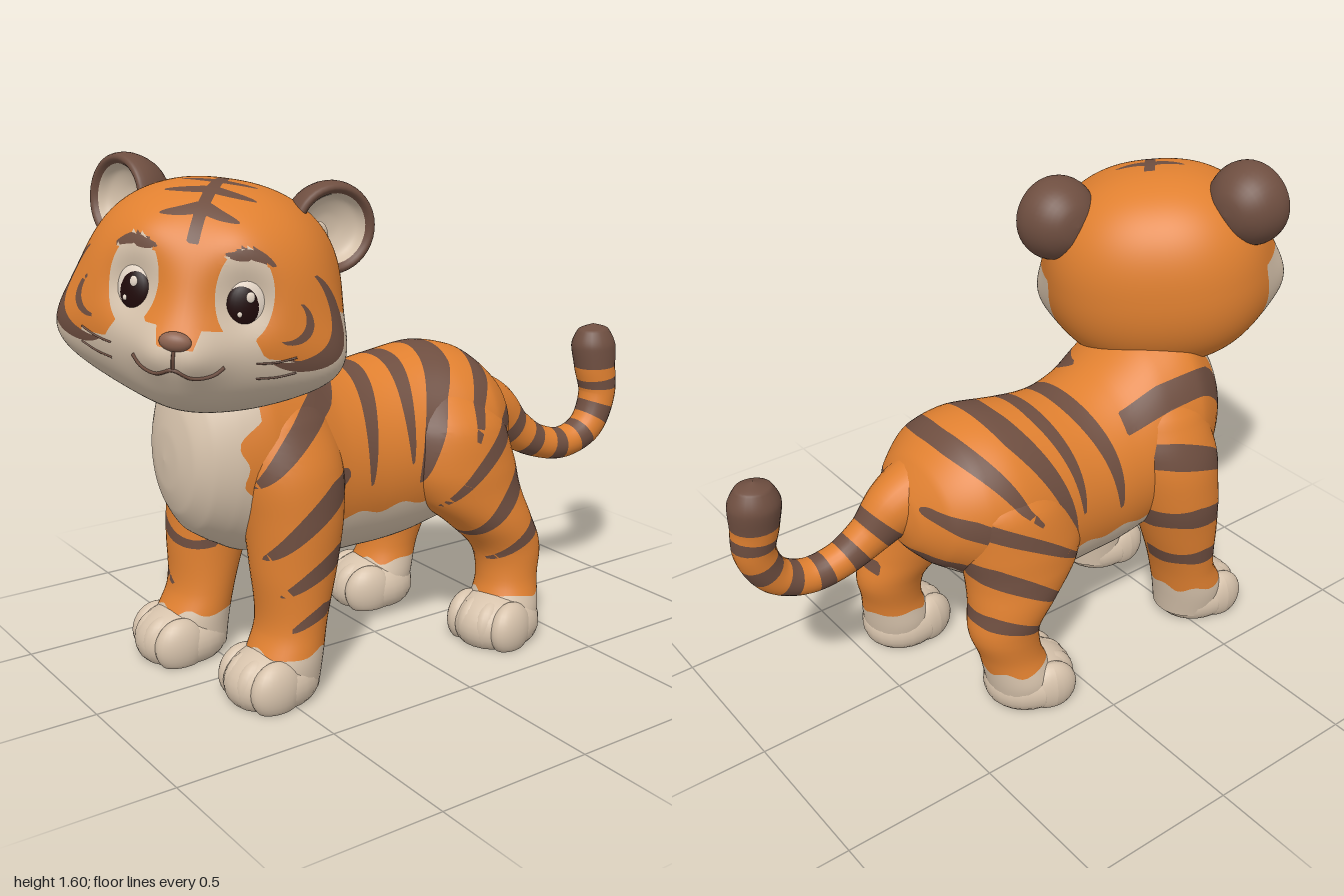
import * as THREE from 'three';
import { mergeGeometries, mergeVertices } from 'three/addons/utils/BufferGeometryUtils.js';

const flat = (name, color) => Object.assign(new THREE.MeshStandardMaterial({ color }), { name });
const V3 = (x, y, z) => new THREE.Vector3(x, y, z);

// Stripes as tapered strokes: start, end, half width
const SIDE = [
  [0.06, 1.0, 0.165, 0.6, 0.035], [-0.07, 1.0, 0.01, 0.64, 0.028], [-0.22, 1.0, -0.02, 0.57, 0.041],
  [-0.38, 0.96, -0.19, 0.68, 0.036], [-0.45, 0.75, -0.08, 0.49, 0.036], [-0.46, 0.57, -0.18, 0.36, 0.042],
  [-0.5, 0.39, -0.27, 0.28, 0.03], [0.25, 0.93, 0.57, 0.67, 0.05], [0.27, 0.66, 0.55, 0.45, 0.047],
  [0.28, 0.45, 0.52, 0.34, 0.038], [0.36, 0.29, 0.5, 0.23, 0.026],
];
const RIGHT_LEG = [[0.3, 0.77, 0.79, 0.51, 0.055], [0.3, 0.51, 0.78, 0.36, 0.045], [0.36, 0.32, 0.68, 0.235, 0.034]];
const RIGHT_CHEST = [[-0.31, 0.98, -0.205, 0.69, 0.048]];
const BROWS = [[0.185, 0.176, 0.26, 0.145, 0.018], [0.19, 0.176, 0.105, 0.168, 0.018]];
const CROWN = [[0, 0.04, 0.11, 0.03, 0.022], [0, 0.12, 0.13, 0.13, 0.023], [0, 0.2, 0.11, 0.23, 0.021]];
function inStripe(list, u, v) {
  return list.some(([a, b, c, d, w]) => {
    const dx = c - a, dy = d - b;
    const t = THREE.MathUtils.clamp(((u - a) * dx + (v - b) * dy) / (dx * dx + dy * dy), 0, 1);
    const bow = 0.06 * Math.sin(Math.PI * t);
    return Math.hypot(u - a - dx * t + dy * bow, v - b - dy * t - dx * bow) < w * Math.min(1, 0.5 + 3 * t) * Math.sqrt(1 - t);
  });
}
// Crescent: a disc less a shifted disc
const inCrescent = (u, v, cu, cv, r, du, dv) => Math.hypot(u - cu, v - cv) < r && Math.hypot(u - cu - du, v - cv - dv) > r;

// Upper limit of the pale lower face, by distance round the head
const JAW = [[0, -0.08], [0.045, -0.08], [0.06, -0.03], [0.2, -0.035], [0.24, -0.1], [0.37, -0.105], [0.44, 0.01], [2, 0.01]];
function jawEdge(u) {
  const i = Math.max(1, JAW.findIndex(k => k[0] >= u)), [a, b] = [JAW[i - 1], JAW[i]];
  return THREE.MathUtils.mapLinear(u, a[0], b[0], a[1], b[1]);
}

// Smooth skin over elliptical sections [x, y, z, half width, half height]
function loft(sections, rows, segs, axis) {
  const path = new THREE.CatmullRomCurve3(sections.map(s => V3(s[0], s[1], s[2])));
  const size = new THREE.CatmullRomCurve3(sections.map(s => V3(s[3], s[4], 0)));
  const pos = [], uv = [], index = [], X = V3(1, 0, 0);
  for (let i = 0; i <= rows; i++) {
    const t = i / rows, c = path.getPoint(t), r = size.getPoint(t);
    const up = (axis || path.getTangent(t)).clone().cross(X).normalize();
    for (let j = 0; j < segs; j++) {
      const a = j / segs * Math.PI * 2;
      const p = c.clone().addScaledVector(X, r.x * Math.cos(a)).addScaledVector(up, r.y * Math.sin(a));
      pos.push(p.x, p.y, p.z);
      uv.push(j / segs, t);
      if (i < rows) {
        const k = i * segs + j, n = i * segs + (j + 1) % segs;
        index.push(k, n, k + segs, n, n + segs, k + segs);
      }
    }
  }
  const g = new THREE.BufferGeometry();
  g.setAttribute('position', new THREE.Float32BufferAttribute(pos, 3));
  g.setAttribute('uv', new THREE.Float32BufferAttribute(uv, 2));
  g.setIndex(index);
  return g;
}

// Split a skin into colour groups by a rule, cutting triangles along the colour edges
function paint(g, rule) {
  const P = g.attributes.position, T = g.attributes.uv, id = g.index.array, cuts = {}, sets = [[], [], []];
  const pts = Array.from({ length: P.count }, (_, i) => V3().fromBufferAttribute(P, i));
  const ts = pts.map((_, i) => T ? T.getY(i) : 0);
  const tone = pts.map((p, i) => rule(p, ts[i]));
  const cut = (a, b) => {
    if (a > b) [a, b] = [b, a];
    return cuts[a + '_' + b] ??= (() => {
      let lo = 0, hi = 1;
      for (let n = 0; n < 9; n++) {
        const m = (lo + hi) / 2;
        if (rule(pts[a].clone().lerp(pts[b], m), ts[a] + (ts[b] - ts[a]) * m) === tone[a]) lo = m; else hi = m;
      }
      return pts.push(pts[a].clone().lerp(pts[b], hi)) - 1;
    })();
  };
  for (let i = 0; i < id.length; i += 3) {
    let [a, b, c] = id.subarray(i, i + 3);
    // Turn the triangle until its odd corner comes first
    for (let n = 0; n < 2 && tone[b] !== tone[c]; n++) [a, b, c] = [b, c, a];
    if (tone[a] === tone[b] || tone[b] !== tone[c]) { sets[tone[a]].push(a, b, c); continue; }
    const m = cut(a, b), n = cut(a, c);
    sets[tone[a]].push(a, m, n);
    sets[tone[b]].push(m, b, c, m, c, n);
  }
  const out = new THREE.BufferGeometry().setFromPoints(pts);
  out.setIndex(sets.flat());
  let start = 0;
  sets.forEach((s, m) => { if (s.length) out.addGroup(start, s.length, m); start += s.length; });
  out.computeVertexNormals();
  return out;
}

// Move every vertex by a rule
function warp(g, rule) {
  const P = g.attributes.position, v = V3();
  for (let i = 0; i < P.count; i++) { rule(v.fromBufferAttribute(P, i)); P.setXYZ(i, v.x, v.y, v.z); }
  g.computeVertexNormals();
  return g;
}

export function createModel() {
  const orange = flat('orange fur', 0xe08030), brown = flat('brown stripes', 0x6e4e40), cream = flat('cream fur', 0xd6c2ab);
  const white = flat('eye white', 0xeadbcb), dark = flat('pupil', 0x200a0a), noseTone = flat('nose', 0x8f6552);
  const fur = [orange, brown, cream];
  const model = new THREE.Group();
  const add = (parent, name, geo, mat, x = 0, y = 0, z = 0) => {
    const m = new THREE.Mesh(geo, mat);
    m.name = name;
    m.position.set(x, y, z);
    parent.add(m);
    return m;
  };
  const blob = (parent, name, mat, x, y, z, sx, sy, sz) =>
    add(parent, name, new THREE.SphereGeometry(1, 24, 16), mat, x, y, z).scale.set(sx, sy, sz);

  // Torso, rump to chest
  const torso = loft([
    [-0.02, 0.68, -0.5, 0, 0], [-0.02, 0.68, -0.475, 0.11, 0.1], [-0.03, 0.69, -0.42, 0.2, 0.175],
    [-0.03, 0.69, -0.32, 0.27, 0.25], [-0.04, 0.67, -0.2, 0.29, 0.295], [-0.05, 0.64, -0.05, 0.275, 0.305],
    [-0.05, 0.63, 0.1, 0.27, 0.3], [-0.05, 0.65, 0.24, 0.275, 0.315], [-0.05, 0.71, 0.38, 0.285, 0.345],
    [-0.05, 0.75, 0.5, 0.28, 0.35], [-0.04, 0.75, 0.6, 0.24, 0.3], [-0.03, 0.74, 0.67, 0.19, 0.24],
    [-0.02, 0.735, 0.712, 0.133, 0.17], [-0.02, 0.73, 0.733, 0.07, 0.09], [-0.02, 0.73, 0.74, 0, 0],
  ], 120, 92, V3(0, 0, 1));
  add(model, 'torso', paint(torso, p => {
    if (p.z > 0.54 && Math.abs(p.x + 0.005) < 0.205 + 0.006 * Math.sin(p.y * 45)) return 2;
    const groin = p.z < -0.18 && Math.abs(p.x + 0.03) < 0.14;
    if (p.y < (groin ? 0.63 : 0.515) + 0.01 * Math.sin(p.z * 40) && p.z > -0.4) return 2;
    if (p.x < 0 && p.z > 0.22) return inStripe(RIGHT_CHEST, p.x, p.y) ? 1 : 0;
    return inStripe(SIDE, p.z, p.y) ? 1 : 0;
  }), fur);

  // Tail with rings and a dark tip
  const tail = loft([
    [0, 0.73, -0.38, 0.13, 0.13], [0.01, 0.7, -0.47, 0.095, 0.1], [0.025, 0.625, -0.56, 0.066, 0.07],
    [0.04, 0.565, -0.66, 0.058, 0.057], [0.055, 0.545, -0.77, 0.057, 0.055], [0.065, 0.59, -0.87, 0.06, 0.058],
    [0.06, 0.7, -0.925, 0.064, 0.064], [0.05, 0.8, -0.92, 0.07, 0.074], [0.042, 0.87, -0.918, 0.074, 0.08],
    [0.04, 0.93, -0.916, 0.05, 0.055], [0.04, 0.95, -0.915, 0, 0],
  ], 90, 24);
  add(model, 'tail', paint(tail, (p, t) =>
    t > 0.7 || (t > 0.15 && t < 0.66 && ((t - 0.15) / 0.095) % 1 < 0.45) ? 1 : 0), fur);

  // Paw: a pad with four toes, flat underneath
  const lump = (x, y, z, sx, sy, sz) => new THREE.SphereGeometry(1, 24, 16).scale(sx, sy, sz).translate(x, y, z);
  const pawGeo = warp(mergeGeometries([
    lump(0, 0.06, 0, 0.135, 0.11, 0.15),
    ...[-0.088, -0.032, 0.032, 0.088].map(x => lump(x, 0.064, 0.068 - Math.abs(x) * 0.3, 0.052, 0.088, 0.086)),
  ]), v => { v.y = Math.max(v.y, 0.003); });

  // Legs, built on the left and mirrored with a changed stride
  const legs = [
    { name: 'front', sum: -0.1, dz: 0.075, inward: 0.04, paw: [0.188, 0.515], yaw: 0.05, sections: [
      [0.05, 0.97, 0.42, 0, 0], [0.06, 0.93, 0.42, 0.1, 0.11], [0.085, 0.84, 0.42, 0.147, 0.16],
      [0.13, 0.7, 0.415, 0.16, 0.172], [0.155, 0.55, 0.41, 0.15, 0.155], [0.17, 0.4, 0.42, 0.132, 0.134],
      [0.178, 0.22, 0.44, 0.122, 0.105], [0.185, 0.12, 0.47, 0.124, 0.118], [0.185, 0.03, 0.48, 0.115, 0.115]] },
    { name: 'hind', sum: -0.06, dz: 0.15, inward: 0.05, paw: [0.25, -0.315], yaw: 0.22, sections: [
      [0.06, 0.9, -0.2, 0, 0], [0.07, 0.85, -0.2, 0.11, 0.12], [0.12, 0.73, -0.2, 0.158, 0.195],
      [0.14, 0.6, -0.215, 0.163, 0.215], [0.16, 0.5, -0.25, 0.15, 0.195], [0.19, 0.4, -0.32, 0.13, 0.15],
      [0.21, 0.3, -0.38, 0.108, 0.118], [0.225, 0.2, -0.375, 0.102, 0.102], [0.24, 0.1, -0.35, 0.118, 0.112],
      [0.245, 0.03, -0.34, 0.11, 0.11]] },
  ];
  for (const leg of legs) for (const side of [1, -1]) {
    const word = leg.name + (side > 0 ? 'Left' : 'Right');
    const stride = v => {
      v.x = leg.sum - v.x + leg.inward * Math.max(0, 1 - v.y / 0.5);
      v.z += leg.dz * Math.max(0, 1 - (v.y / 0.75) ** 2);
      return v;
    };
    const striped = side < 0 && leg.name === 'front'
      ? p => ((p.x > 0.14 || p.z > 0.45) && inStripe(RIGHT_LEG, p.z + Math.max(0, 0.3 - p.x), p.y)) ||
        (p.z > 0.3 && inStripe(RIGHT_CHEST, leg.sum - p.x, p.y))
      : p => p.x > 0.14 && inStripe(SIDE, p.z, p.y);
    const g = paint(loft(leg.sections, 60, 44, V3(0, -1, 0)), p =>
      p.y < 0.16 + 0.01 * Math.sin(p.x * 50 + p.z * 30) ? 2 : striped(p) ? 1 : 0);
    const foot = V3(leg.paw[0], 0, leg.paw[1]);
    if (side < 0) {
      const id = g.index.array;
      for (let i = 0; i < id.length; i += 3) [id[i], id[i + 1]] = [id[i + 1], id[i]];
      warp(g, stride);
      stride(foot);
    }
    add(model, word + 'Leg', g, fur);
    add(model, word + 'Paw', pawGeo, cream, foot.x, 0, foot.z).rotation.y = side * leg.yaw;
  }

  // Head, turned to its left and slightly tilted
  const head = new THREE.Group();
  head.name = 'head';
  head.position.set(0.03, 1.215, 0.59);
  head.rotation.set(0, THREE.MathUtils.degToRad(47), -0.12, 'YXZ');
  model.add(head);
  // Bumps: centre, spread, push (mirrored)
  const bumps = [
    [0.33, -0.115, 0.09, 0.1, 0.07, -0.015, 0.03], [0, -0.1, 0.31, 0.085, 0, 0, 0.055], [0.06, -0.115, 0.33, 0.045, 0, 0, 0.022],
    [0.15, 0.045, 0.29, 0.06, 0, 0, -0.045], [0, -0.24, 0.22, 0.09, 0, -0.01, 0.05], [0.13, 0.19, 0.25, 0.06, 0, 0.004, 0.01],
  ];
  let skull = new THREE.SphereGeometry(1, 130, 96);
  skull.deleteAttribute('uv');
  skull.deleteAttribute('normal');
  skull = warp(mergeVertices(skull), v => {
    const n = [v.x, v.y, v.z].reduce((s, c) => s + Math.abs(c) ** 2.3, 0) ** (1 / 2.3);
    v.divideScalar(n).multiply(V3(0.362, 0.325, v.z > 0 ? 0.325 : 0.315));
    const p = v.clone(), s = Math.sign(p.x);
    for (const [x, y, z, spread, dx, dy, dz] of bumps) {
      const f = Math.exp(-((Math.abs(p.x) - x) ** 2 + (p.y - y) ** 2 + (p.z - z) ** 2) / (2 * spread * spread));
      v.add(V3(s * dx * f, dy * f, dz * f));
    }
  });
  const skullMesh = add(head, 'skull', paint(skull, p => {
    const x = Math.abs(p.x), u = 0.35 * Math.atan2(x, p.z);
    if (inCrescent(u, p.y, 0.335, 0, 0.135, -0.05, 0.025) || inCrescent(u, p.y, 0.3, 0, 0.06, -0.021, 0.01)) return 1;
    if (inStripe(BROWS, u, p.y)) return 1;
    if (p.y > 0.1 && (inStripe(CROWN, x, p.z) || (x < 0.017 && p.z > -0.03 && p.z < 0.285))) return 1;
    if (((u - 0.172) / 0.085) ** 2 + ((p.y - 0.065) / 0.125) ** 2 < 1) return 2;
    return p.y < jawEdge(u) && p.z > -0.11 + 0.25 * Math.max(0, -0.02 - p.y) ? 2 : 0;
  }), fur);

  // Points and drawn lines on the face
  const ray = new THREE.Raycaster();
  const onFace = (x, y, lift = 0) => {
    ray.set(V3(x, y, 1), V3(0, 0, -1));
    return V3(x, y, (ray.intersectObject(skullMesh)[0]?.point.z ?? 0.2) + lift);
  };
  const line = (name, pts, r) => add(head, name, new THREE.TubeGeometry(
    new THREE.CatmullRomCurve3(pts.map(([x, y]) => onFace(x, y, 0.001))), 24, r, 6), brown);
  line('mouth', [[-0.125, -0.125], [-0.1, -0.148], [-0.05, -0.158], [0, -0.138], [0.05, -0.158], [0.1, -0.148], [0.125, -0.125]], 0.006);
  line('lipCleft', [[0, -0.085], [0, -0.11], [0, -0.138]], 0.005);
  const tip = onFace(0, -0.06);
  blob(head, 'nose', noseTone, 0, -0.062, tip.z, 0.044, 0.027, 0.024);

  for (const s of [1, -1]) {
    for (const y of [-0.115, -0.16]) line('whiskerMark', [[s * 0.2, y], [s * 0.25, y + 0.006], [s * 0.3, y + 0.022]], 0.003);
    // Eye
    const eye = new THREE.Group();
    eye.name = s > 0 ? 'leftEye' : 'rightEye';
    eye.position.copy(onFace(s * 0.147, 0.037, -0.016));
    eye.rotation.set(-0.05, s * 0.32, 0);
    head.add(eye);
    blob(eye, 'eyeball', white, 0, 0, 0, 0.064, 0.084, 0.034);
    blob(eye, 'pupil', dark, -s * 0.006, -0.004, 0.016, 0.049, 0.061, 0.023);
    blob(eye, 'glint', white, 0.01, 0.024, 0.036, 0.012, 0.015, 0.005);
    blob(eye, 'smallGlint', white, -0.014, -0.024, 0.036, 0.007, 0.008, 0.004);
    const lid = add(eye, 'lidLine', new THREE.TorusGeometry(0.064, 0.005, 6, 24, 2.4), dark, 0, 0, 0.012);
    lid.rotation.z = 0.37;
    lid.scale.y = 1.3;

    // Ear, a deep cup facing forward and outward
    const ear = new THREE.Group();
    ear.name = s > 0 ? 'leftEar' : 'rightEar';
    ear.position.set(s * 0.296, 0.218, -0.1);
    ear.rotation.set(0, s * 0.65, 0);
    head.add(ear);
    const cup = (name, pts, mat) => {
      const curve = new THREE.SplineCurve(pts.map(p => new THREE.Vector2(...p)));
      add(ear, name, new THREE.LatheGeometry(curve.getPoints(20), 40), mat).rotation.x = Math.PI / 2;
    };
    cup('earBack', [[0.0001, -0.12], [0.06, -0.108], [0.11, -0.065], [0.134, -0.005], [0.13, 0.04], [0.115, 0.048], [0.102, 0.034]], brown);
    cup('earInner', [[0.102, 0.034], [0.085, 0.005], [0.04, -0.015], [0.0001, -0.02]], cream);
    blob(ear, 'earTuft', cream, -s * 0.03, -0.04, -0.005, 0.035, 0.055, 0.022);
  }
  return model;
}
